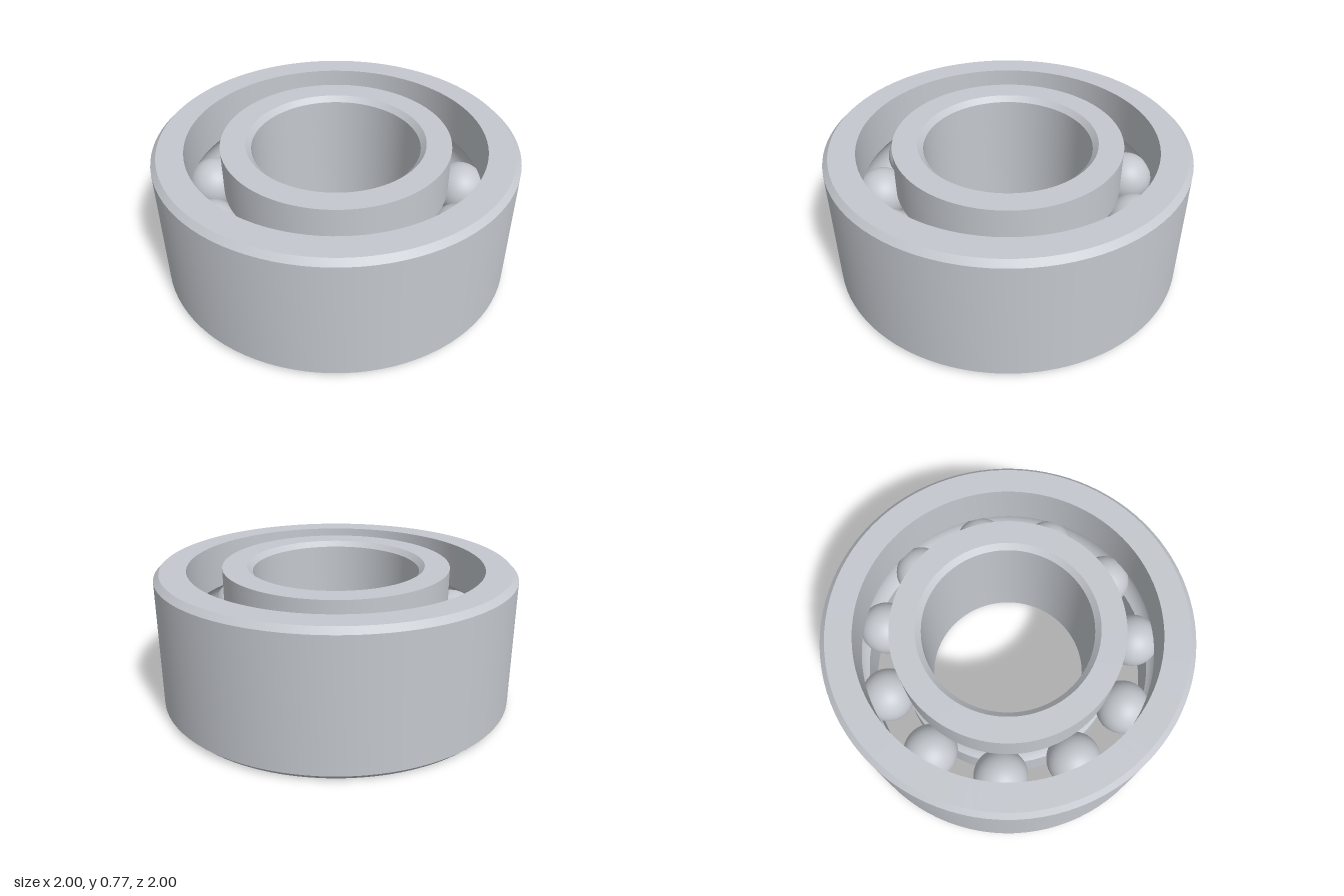
import * as THREE from 'three';
import { toCreasedNormals } from 'three/addons/utils/BufferGeometryUtils.js';

const HEIGHT = 0.77, MID = HEIGHT / 2, CHAMFER = 0.03;
const INNER = { bore: 0.465, land: 0.632 };
const OUTER = { land: 0.825, rim: 1 };
const PITCH = (INNER.land + OUTER.land) / 2;
const BALL_RADIUS = 0.15, BALL_COUNT = 11, GROOVE_RADIUS = 0.153;

// Ball track: arc around the ball centre, cut into a land; side is +1 (outer ring, top to bottom) or -1 (inner ring, bottom to top)
function groove(land, side) {
  const half = Math.acos(Math.abs(land - PITCH) / GROOVE_RADIUS);
  const points = [];
  for (let i = 0; i <= 16; i++) {
    const a = half * (1 - i / 8);
    points.push([PITCH + side * GROOVE_RADIUS * Math.cos(a), MID + side * GROOVE_RADIUS * Math.sin(a)]);
  }
  return points;
}

// Closed counterclockwise profile turned about the y axis
function ring(name, profile, material) {
  const points = [...profile, profile[0]].map(([r, y]) => new THREE.Vector2(r, y));
  const mesh = new THREE.Mesh(toCreasedNormals(new THREE.LatheGeometry(points, 96), 0.4), material);
  mesh.name = name;
  return mesh;
}

export function createModel() {
  const steel = new THREE.MeshStandardMaterial({ color: 0xc4c8ce });
  steel.name = 'steel';
  const bearing = new THREE.Group();
  bearing.name = 'ballBearing';

  // Outer ring, chamfered on its rim
  bearing.add(ring('outerRing', [
    [OUTER.land, 0], [OUTER.rim - CHAMFER, 0], [OUTER.rim, CHAMFER],
    [OUTER.rim, HEIGHT - CHAMFER], [OUTER.rim - CHAMFER, HEIGHT], [OUTER.land, HEIGHT],
    ...groove(OUTER.land, 1),
  ], steel));

  // Inner ring, chamfered on its bore
  bearing.add(ring('innerRing', [
    [INNER.bore + CHAMFER, 0], [INNER.land, 0],
    ...groove(INNER.land, -1),
    [INNER.land, HEIGHT], [INNER.bore + CHAMFER, HEIGHT],
    [INNER.bore, HEIGHT - CHAMFER], [INNER.bore, CHAMFER],
  ], steel));

  // Balls, evenly spaced from +x
  const balls = new THREE.Group();
  balls.name = 'balls';
  const ballGeometry = new THREE.SphereGeometry(BALL_RADIUS, 40, 24);
  for (let i = 0; i < BALL_COUNT; i++) {
    const a = (i / BALL_COUNT) * Math.PI * 2;
    const ball = new THREE.Mesh(ballGeometry, steel);
    ball.name = 'ball';
    ball.position.set(PITCH * Math.cos(a), MID, PITCH * Math.sin(a));
    balls.add(ball);
  }
  bearing.add(balls);
  return bearing;
}
